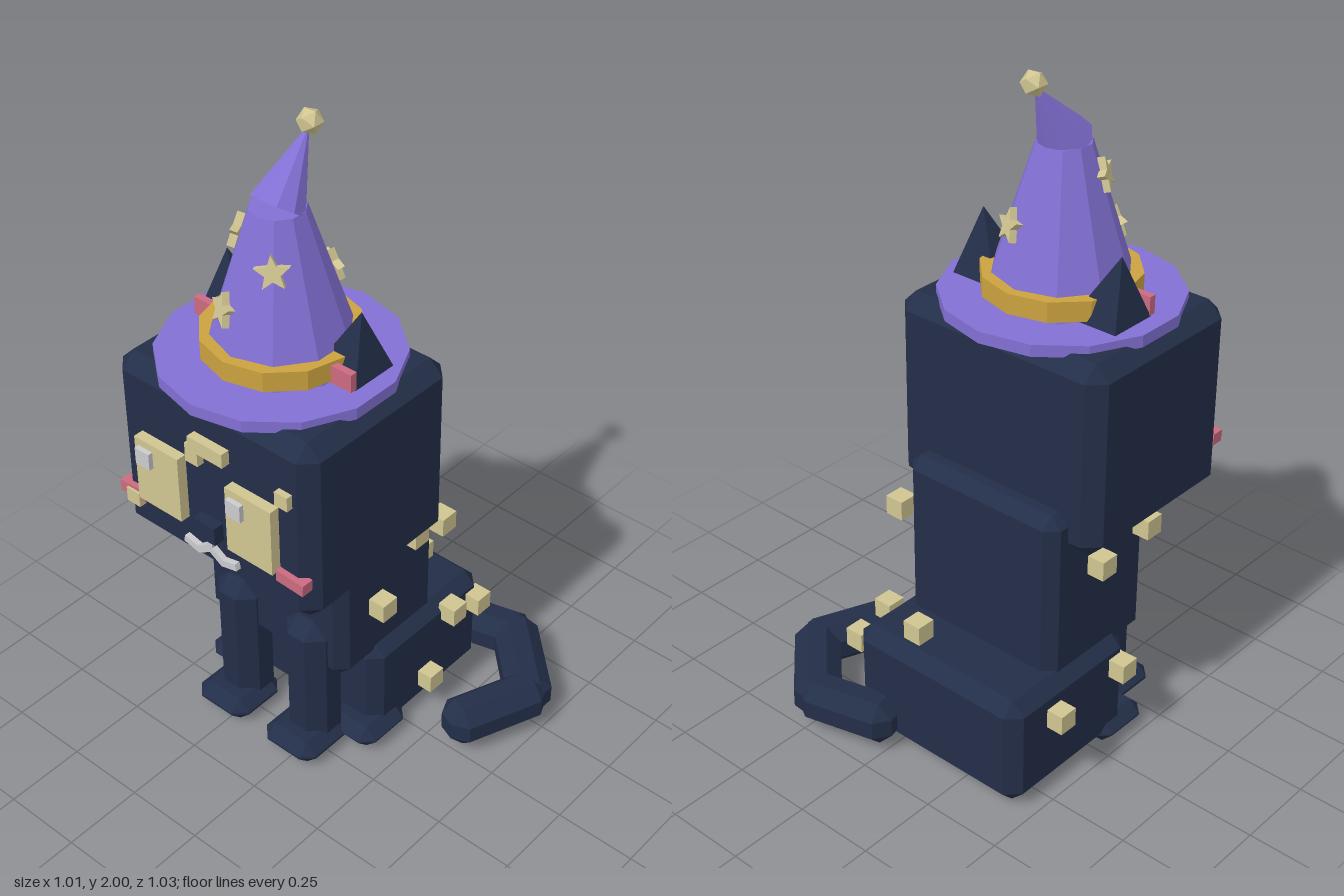
import * as THREE from 'three';
import { ConvexGeometry } from 'three/addons/geometries/ConvexGeometry.js';

export function createModel() {
  const root = new THREE.Group();
  const CX = -0.15; // mirror plane of the cat
  const HZ = 0.165; // hat axis
  const mat = (name, hex, extra = {}) => {
    const m = new THREE.MeshStandardMaterial({ color: hex, flatShading: true, ...extra });
    m.name = name;
    return m;
  };
  const navy = mat('navyFur', 0x232e48);
  const purple = mat('purpleFelt', 0x8270d4, { side: THREE.DoubleSide });
  const gold = mat('goldBand', 0xcaa23f);
  const pale = mat('paleGold', 0xd0c591);
  const pink = mat('pink', 0xcb6a80);
  const white = mat('softWhite', 0xcbcbce);

  const add = (name, geo, material, x = 0, y = 0, z = 0) => {
    const m = new THREE.Mesh(geo, material);
    m.name = name;
    m.position.set(x, y, z);
    root.add(m);
    return m;
  };
  // plain box and chamfered box, both given as min/max ranges
  const box = (name, material, [x0, x1], [y0, y1], [z0, z1]) =>
    add(name, new THREE.BoxGeometry(x1 - x0, y1 - y0, z1 - z0), material,
      (x0 + x1) / 2, (y0 + y1) / 2, (z0 + z1) / 2);
  const chamferGeo = (w, h, d, c) => {
    const half = [w / 2, h / 2, d / 2];
    const pts = [];
    for (let axis = 0; axis < 3; axis++)
      for (const sx of [-1, 1]) for (const sy of [-1, 1]) for (const sz of [-1, 1]) {
        const p = [sx, sy, sz].map((s, i) => s * (half[i] - (i === axis ? 0 : c)));
        pts.push(new THREE.Vector3(...p));
      }
    return new ConvexGeometry(pts);
  };
  const chamfer = (name, [x0, x1], [y0, y1], [z0, z1], c) =>
    add(name, chamferGeo(x1 - x0, y1 - y0, z1 - z0, c), navy,
      (x0 + x1) / 2, (y0 + y1) / 2, (z0 + z1) / 2);

  // body
  chamfer('head', [-0.51, 0.21], [0.73, 1.32], [-0.12, 0.46], 0.045);
  chamfer('torso', [-0.425, 0.12], [0.305, 0.86], [-0.185, 0.24], 0.035);
  chamfer('hips', [-0.46, 0.155], [0.012, 0.36], [-0.375, 0.13], 0.04);
  for (const s of [-1, 1]) {
    const lx = CX + s * 0.138;
    const bx = CX + s * 0.24;
    chamfer('frontLeg', [lx - 0.077, lx + 0.077], [0.02, 0.49], [0.14, 0.292], 0.045);
    chamfer('frontPaw', [lx - 0.1, lx + 0.1], [0, 0.08], [0.16, 0.36], 0.036);
    chamfer('backPaw', [bx - 0.095, bx + 0.095], [0.008, 0.085], [0.0, 0.2], 0.036);
  }

  // curled tail lying on the ground
  const tail = [[0.03, -0.39], [0.245, -0.445], [0.435, -0.26], [0.345, -0.035]];
  for (let i = 0; i < 3; i++) {
    const [ax, az] = tail[i], [bx, bz] = tail[i + 1];
    const len = Math.hypot(bx - ax, bz - az) + 0.09;
    const seg = add('tailSegment', chamferGeo(0.14, 0.14, len, 0.042), navy,
      (ax + bx) / 2, 0.09, (az + bz) / 2);
    seg.rotation.y = Math.atan2(bx - ax, bz - az);
  }

  // ears leaning outward, with inner ear plates
  for (const s of [-1, 1]) {
    const ear = new THREE.ConeGeometry(0.12, 0.21, 4, 1).rotateY(Math.PI / 4);
    const p = ear.attributes.position;
    for (let i = 0; i < p.count; i++) if (p.getY(i) > 0) p.setX(i, s * 0.035);
    add('ear', ear, navy, CX + s * 0.205, 1.425, 0.117);
    const ix = CX + s * 0.242;
    box('innerEar', pink, [ix - 0.042, ix + 0.042], [1.345, 1.4], [0.188, 0.21]);
  }

  // hat
  add('hatBrim', new THREE.CylinderGeometry(0.345, 0.345, 0.035, 14), purple, CX, 1.325, 0.17);
  const coneBase = 1.34, coneTop = 1.775;
  add('hatCone', new THREE.CylinderGeometry(0.078, 0.218, coneTop - coneBase, 10), purple,
    CX, (coneBase + coneTop) / 2, HZ);
  add('hatBand', new THREE.CylinderGeometry(0.226, 0.226, 0.06, 12), gold, CX, 1.38, HZ);
  const tip = add('hatTip', new THREE.ConeGeometry(0.08, 0.22, 10).translate(0, 0.11, 0), purple,
    CX, 1.775, HZ);
  tip.rotation.x = -0.6;
  add('hatBobble', new THREE.IcosahedronGeometry(0.037, 0), pale, CX, 1.964, 0.038);

  // stars facing outward on the hat
  const starShape = new THREE.Shape();
  for (let i = 0; i < 10; i++) {
    const r = i % 2 ? 0.022 : 0.05, a = Math.PI / 2 + i * Math.PI / 5;
    starShape[i ? 'lineTo' : 'moveTo'](r * Math.cos(a), r * Math.sin(a));
  }
  starShape.closePath();
  const starGeo = new THREE.ExtrudeGeometry(starShape, { depth: 0.022, bevelEnabled: false })
    .translate(0, 0, -0.011);
  for (const [x, y, z] of [[-0.25, 1.69, 0.215], [-0.08, 1.65, 0.265], [-0.21, 1.51, 0.32], [-0.09, 1.56, 0.02]]) {
    const star = add('hatStar', starGeo, pale, x, y, z);
    star.rotation.order = 'YXZ';
    star.rotation.set(-0.25, Math.atan2(x - CX, z - HZ), 0.1);
  }

  // face
  for (const x of [-0.405, -0.065]) {
    box('eye', pale, [x, x + 0.165], [0.885, 1.1], [0.44, 0.492]);
    box('eyeHighlight', white, [x + 0.015, x + 0.068], [1.022, 1.076], [0.47, 0.507]);
  }
  box('nose', navy, [-0.19, -0.11], [0.872, 0.93], [0.44, 0.495]);
  box('moonTop', pale, [-0.2, -0.073], [1.155, 1.2], [0.44, 0.488]);
  box('moonSide', pale, [-0.216, -0.17], [1.108, 1.168], [0.44, 0.484]);
  box('faceSpot', pale, [0.105, 0.15], [1.123, 1.168], [0.44, 0.48]);
  box('faceSpot', pale, [-0.465, -0.415], [0.838, 0.885], [0.44, 0.485]);
  for (const s of [-1, 1]) {
    const x = CX + s * 0.298;
    box('cheek', pink, [x - 0.048, x + 0.048], [0.857, 0.894], [0.44, 0.478]).rotation.z = -s * 0.05;
    // mouth curve, from the middle outward
    const curve = [[0, 0.83], [0.045, 0.802], [0.092, 0.813]];
    for (let i = 0; i < 2; i++) {
      const [ax, ay] = curve[i], [bx, by] = curve[i + 1];
      const bar = add('mouthCurve',
        new THREE.BoxGeometry(Math.hypot(bx - ax, by - ay) + 0.012, 0.022, 0.03), white,
        CX + s * (ax + bx) / 2, (ay + by) / 2, 0.463);
      bar.rotation.z = s * Math.atan2(by - ay, bx - ax);
    }
  }
  box('mouthLine', white, [CX - 0.011, CX + 0.011], [0.82, 0.875], [0.45, 0.478]);

  // glowing cube spots scattered on the body
  const spots = [
    [0.145, 0.525, 0.09], [0.145, 0.71, -0.05], [0.145, 0.68, -0.175],
    [0.175, 0.32, -0.205], [0.175, 0.28, -0.325], [0.175, 0.12, -0.1],
    [-0.03, 0.39, -0.295], [-0.483, 0.26, -0.205], [-0.483, 0.275, 0.07],
    [-0.45, 0.655, 0.0], [-0.45, 0.69, 0.2],
  ];
  for (const [x, y, z] of spots)
    add('bodySpot', new THREE.BoxGeometry(0.06, 0.06, 0.06), pale, x, y, z);

  return root;
}
